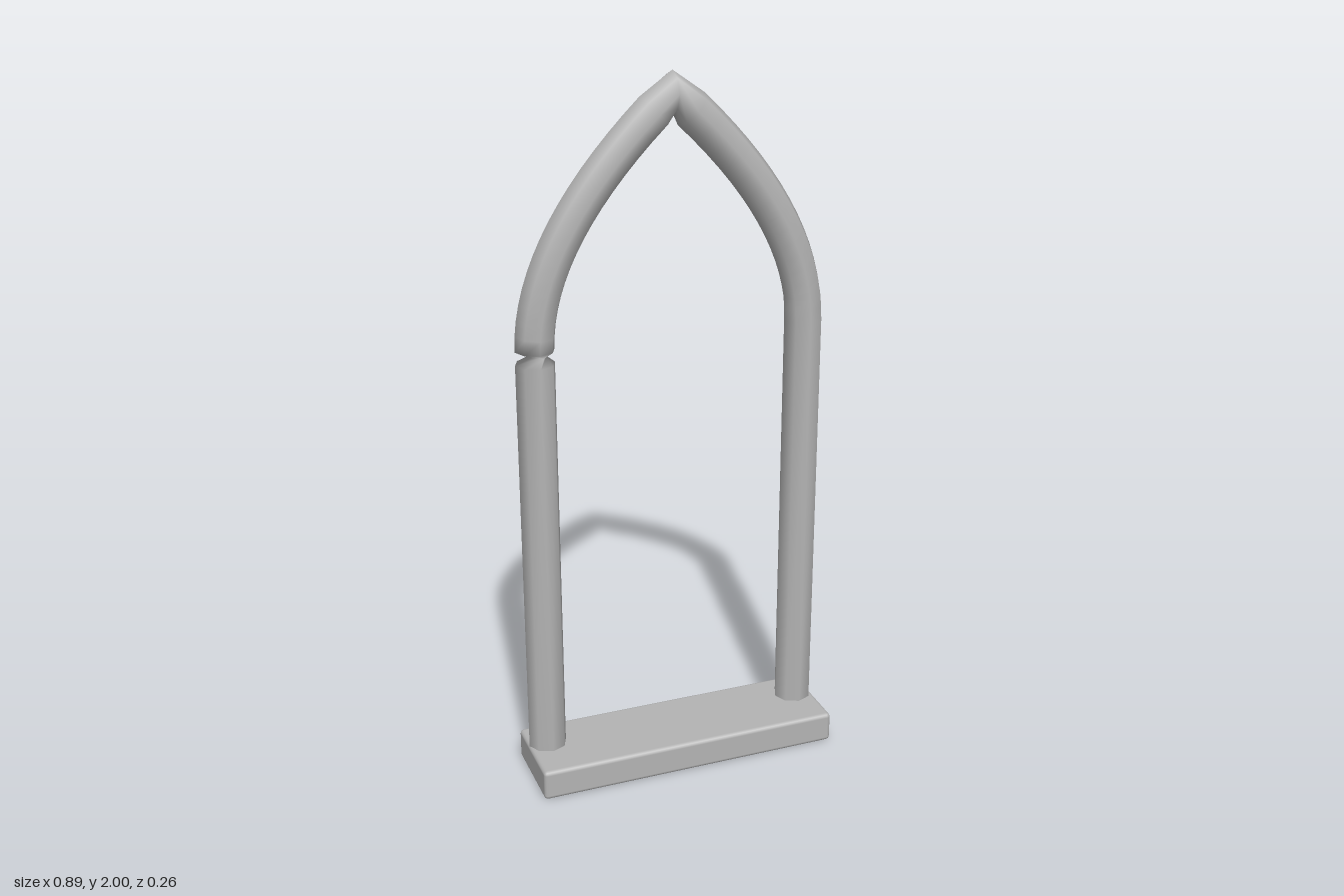
import * as THREE from 'three';
import { RoundedBoxGeometry } from 'three/addons/geometries/RoundedBoxGeometry.js';

const RADIUS = 0.055, SIDES = 8, DEPTH = -0.03, POST_X = 0.39, SPRING = 1.29, APEX = 1.945;

// Sweeps an eight-sided section through rings {x, y, tx, ty, rn, rz} lying in one upright plane.
function sweep(rings) {
  const positions = [], index = [];
  for (const { x, y, tx, ty, rn = RADIUS, rz = RADIUS } of rings) {
    for (let j = 0; j < SIDES; j++) {
      const a = (j / SIDES) * Math.PI * 2;
      const n = Math.cos(a) * rn;
      positions.push(x + ty * n, y - tx * n, DEPTH + Math.sin(a) * rz);
    }
  }
  for (let i = 0; i < rings.length - 1; i++) {
    for (let j = 0; j < SIDES; j++) {
      const k = (j + 1) % SIDES;
      const a = i * SIDES + j, b = i * SIDES + k, c = a + SIDES, d = b + SIDES;
      index.push(a, c, b, b, c, d);
    }
  }
  const geometry = new THREE.BufferGeometry();
  geometry.setAttribute('position', new THREE.Float32BufferAttribute(positions, 3));
  geometry.setIndex(index);
  geometry.computeVertexNormals();
  return geometry;
}

export function createModel() {
  const group = new THREE.Group();
  group.name = 'pointedArchFrame';
  const stone = new THREE.MeshStandardMaterial({ color: 0xb4b4b4 });
  stone.name = 'stoneGrey';

  // Sill slab with softened edges
  const sill = new THREE.Mesh(new RoundedBoxGeometry(0.895, 0.09, 0.256, 2, 0.012), stone);
  sill.name = 'sill';
  sill.position.y = 0.045;
  group.add(sill);

  // Half of the arch, from the springing point up to just below the apex
  const curve = new THREE.QuadraticBezierCurve(
    new THREE.Vector2(-POST_X, SPRING), new THREE.Vector2(-POST_X, 1.6), new THREE.Vector2(0, APEX));
  const half = [];
  for (let i = 0; i <= 15; i++) {
    const t = (i / 15) * 0.93;
    const p = curve.getPoint(t), d = curve.getTangent(t);
    half.push({ x: p.x, y: p.y, tx: d.x, ty: d.y });
  }
  const mirrored = half.map((r) => ({ ...r, x: -r.x, ty: -r.ty })).reverse();

  // Continuous moulding: right post, pinched joint, arch, left post
  const up = { tx: 0, ty: 1 }, down = { tx: 0, ty: -1 };
  const moulding = new THREE.Mesh(sweep([
    { x: -POST_X, y: 0.06, ...up },
    { x: -POST_X, y: 1.252, ...up },
    { x: -0.375, y: 1.275, ...up, rn: 0.012, rz: 0.035 },
    ...half,
    { x: 0, y: APEX, tx: 1, ty: 0 },
    ...mirrored,
    { x: POST_X, y: 0.06, ...down },
  ]), stone);
  moulding.name = 'archMoulding';
  group.add(moulding);

  return group;
}
